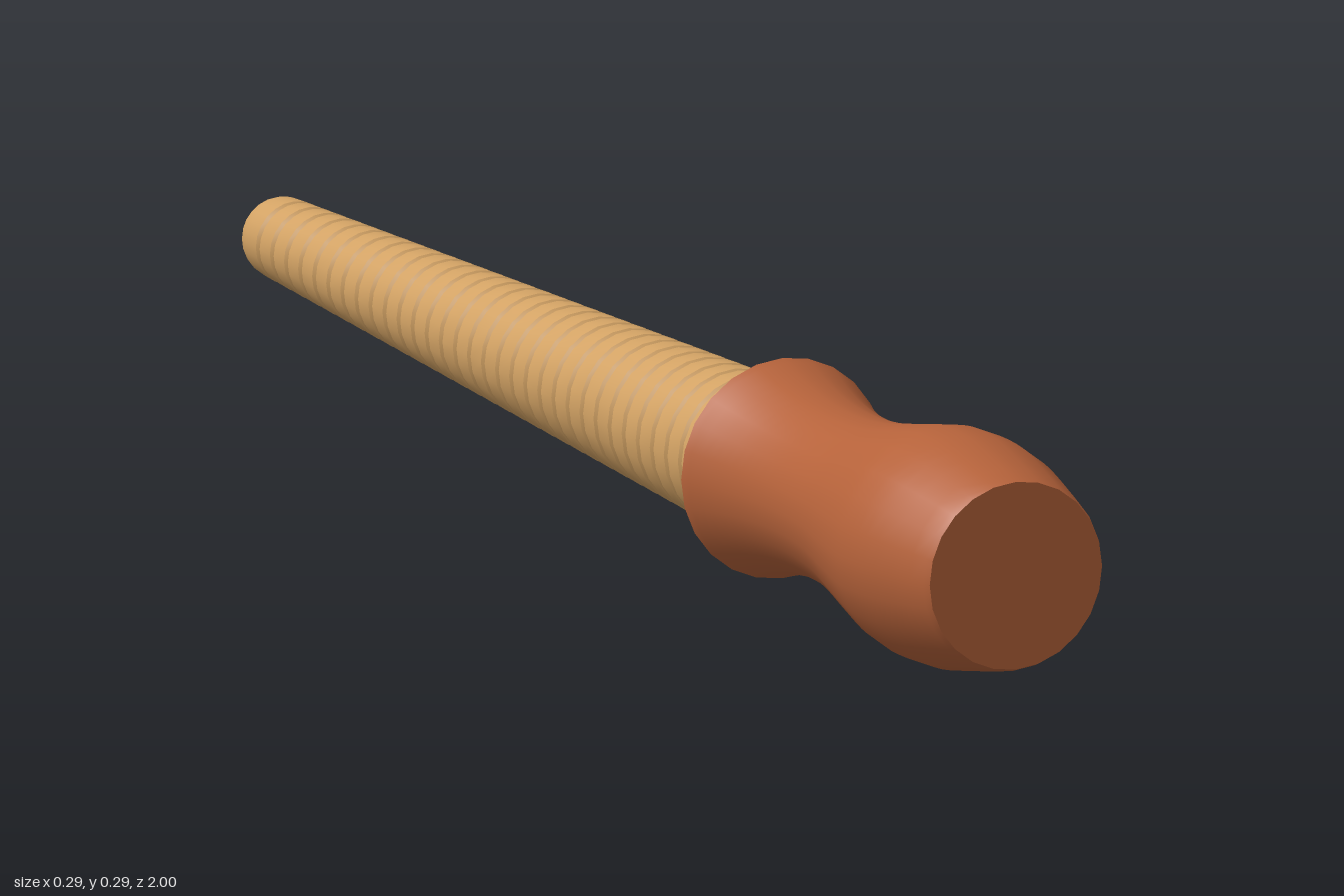
import * as THREE from 'three';
import { toCreasedNormals } from 'three/addons/utils/BufferGeometryUtils.js';

const AXIS_HEIGHT = 0.144;
const SIDES = 24;

// Turned part: profile of [radius, z] points, z ascending, spun about the long axis
function turned(name, points, material) {
  const lathe = new THREE.LatheGeometry(points.map(([r, z]) => new THREE.Vector2(r, z)), SIDES);
  lathe.rotateX(Math.PI / 2);
  const mesh = new THREE.Mesh(toCreasedNormals(lathe, 0.6), material);
  mesh.name = name;
  mesh.position.y = AXIS_HEIGHT;
  return mesh;
}

export function createModel() {
  const group = new THREE.Group();
  group.name = 'taperedRod';
  const handleBrown = new THREE.MeshStandardMaterial({ name: 'handleBrown', color: 0xb5623a });
  const paleWood = new THREE.MeshStandardMaterial({ name: 'paleWood', color: 0xd2a264 });

  // Handle: flared collar, narrow waist, swelling grip and bevelled flat butt
  const curve = new THREE.SplineCurve([
    [0.135, 0.378], [0.12, 0.43], [0.109, 0.49], [0.105, 0.56], [0.111, 0.64],
    [0.127, 0.72], [0.141, 0.79], [0.144, 0.83], [0.14, 0.89], [0.119, 0.99],
  ].map(([r, z]) => new THREE.Vector2(r, z)));
  const side = curve.getPoints(30).map((p) => [p.x, p.y]);
  group.add(turned('handle', [[0, 0.378], ...side, [0.115, 1], [0, 1]], handleBrown));

  // Shaft: rounded tip followed by shallow bevelled rings that widen to the handle
  const shaftRadius = (z) => 0.05 + 0.05 * (z + 0.95) / 1.33;
  const shaft = [];
  for (let i = 0; i <= 8; i++) {
    const a = (i / 8) * Math.PI / 2;
    shaft.push([0.05 * Math.sin(a), -0.95 - 0.05 * Math.cos(a)]);
  }
  const firstGroove = -0.917, pitch = 0.0405, rings = 32;
  for (let i = 0; i < rings; i++) {
    const z = firstGroove + i * pitch;
    const r = shaftRadius(z);
    shaft.push([r, z - 0.005], [r - 0.004, z - 0.001], [r - 0.004, z + 0.001], [r, z + 0.005]);
  }
  shaft.push([0.1, 0.39]);
  group.add(turned('ringedShaft', shaft, paleWood));

  return group;
}
